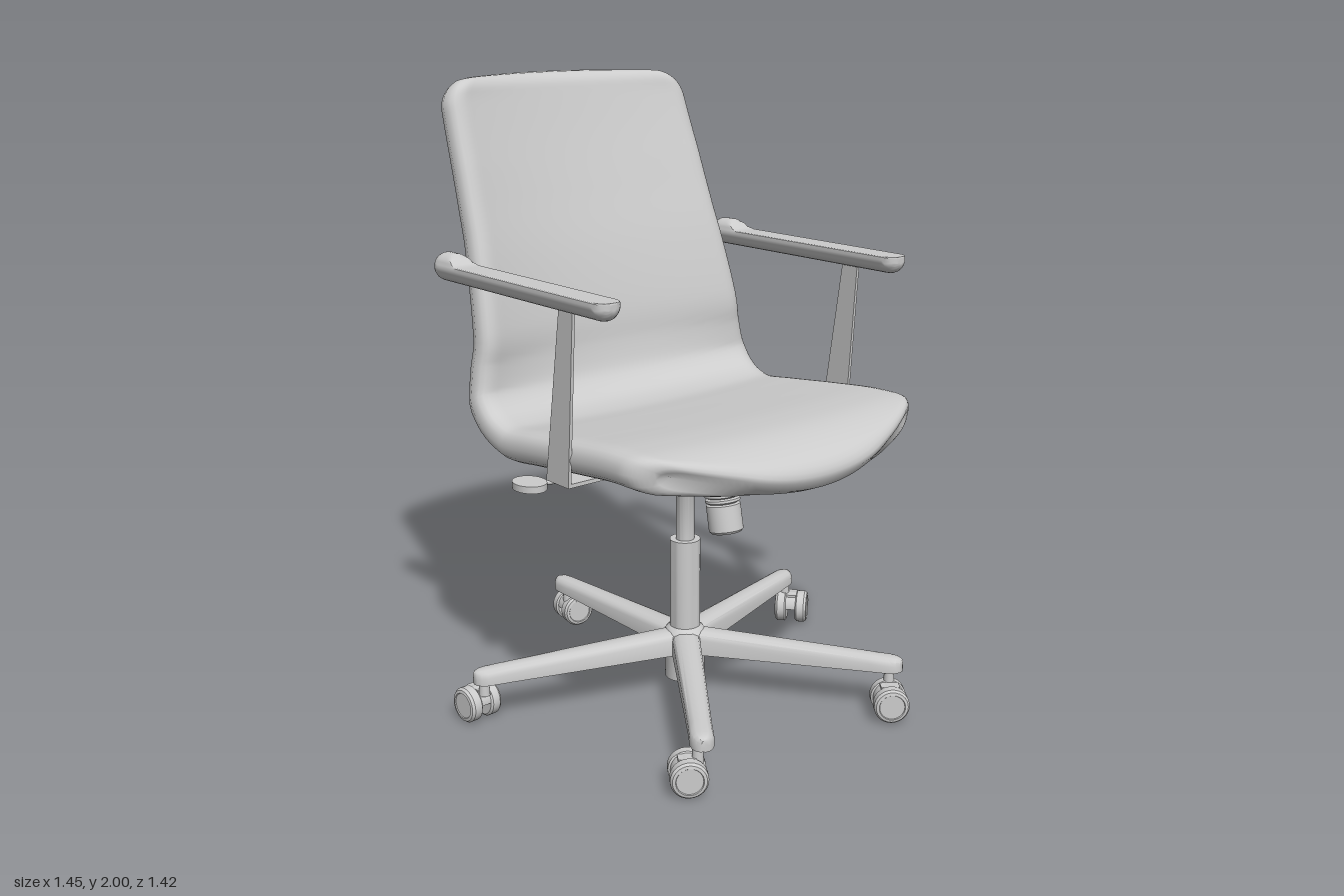
import * as THREE from 'three';
import { mergeVertices, toCreasedNormals } from 'three/addons/utils/BufferGeometryUtils.js';

const grey = new THREE.MeshStandardMaterial({ color: 0xcccccc });
grey.name = 'light grey';
const CX = -0.022, CZ = 0.05; // axis of the column

function add(parent, name, geometry, x = 0, y = 0, z = 0) {
  const mesh = new THREE.Mesh(geometry, grey);
  mesh.name = name;
  mesh.position.set(x, y, z);
  parent.add(mesh);
  return mesh;
}

const lathe = (pts, seg = 32) =>
  toCreasedNormals(new THREE.LatheGeometry(pts.map(p => new THREE.Vector2(...p)), seg), 0.6);

function build(positions, index) {
  const g = new THREE.BufferGeometry();
  g.setAttribute('position', new THREE.Float32BufferAttribute(positions, 3));
  g.setIndex(index);
  return g;
}

// Skins closed counter-clockwise rings [[x, y], ...] placed at rising z
function loft(rings, crease = 0.7) {
  const pos = [], idx = [], n = rings[0].pts.length;
  rings.forEach(r => r.pts.forEach(p => pos.push(p[0], p[1], r.z)));
  for (let i = 0; i < rings.length - 1; i++)
    for (let j = 0; j < n; j++) {
      const a = i * n + j, b = i * n + (j + 1) % n;
      idx.push(a, b, b + n, a, b + n, a + n);
    }
  [0, rings.length - 1].forEach(i => {
    const c = pos.length / 3, pts = rings[i].pts;
    pos.push(0, pts.reduce((s, p) => s + p[1], 0) / n, rings[i].z);
    for (let j = 0; j < n; j++) {
      const a = i * n + j, b = i * n + (j + 1) % n;
      idx.push(c, ...(i ? [a, b] : [b, a]));
    }
  });
  return toCreasedNormals(build(pos, idx), crease);
}

// Piecewise linear lookup in [[key, value], ...]
function lookup(table, t) {
  for (let i = 1; i < table.length; i++) {
    const [a, va] = table[i - 1], [b, vb] = table[i];
    if (t <= b) return va + (vb - va) * (t - a) / (b - a);
  }
  return table[table.length - 1][1];
}

// Padded one-piece seat and back, swept along a side profile
function shellGeometry() {
  const profile = [[0.67, 0.865], [0.625, 0.91], [0.53, 0.947], [0.4, 0.952], [0.2, 0.932], [0, 0.907],
    [-0.15, 0.892], [-0.27, 0.918], [-0.355, 0.99], [-0.392, 1.1], [-0.405, 1.2], [-0.455, 1.4],
    [-0.52, 1.6], [-0.585, 1.8], [-0.643, 1.995]];
  const path = new THREE.CatmullRomCurve3(profile.map(([z, y]) => new THREE.Vector3(0, y, z)));
  path.arcLengthDivisions = 600;
  const L = path.getLength(), NU = 44, NV = 100, H = 0.054, corner = 0.11;
  const widths = [[0, 0.575], [0.5, 0.575], [0.6, 0.54], [0.75, 0.507], [1, 0.478]];
  const bows = [[0, 0.0], [0.1, 0.012], [0.4, 0.018], [0.48, 0.045], [0.6, 0.085], [0.85, 0.075], [1, 0.06]];
  const round = (d, r) => Math.sqrt(1 - (1 - Math.min(d / r, 1)) ** 2);
  const ease = k => 0.45 * k + 0.55 * (1 - Math.cos(Math.PI * k)) / 2;
  const pos = [], idx = [], count = (NU + 1) * (NV + 1);
  for (const side of [1, -1])
    for (let i = 0; i <= NV; i++)
      for (let j = 0; j <= NU; j++) {
        const v = ease(i / NV), u = 2 * ease(j / NU) - 1;
        const s = THREE.MathUtils.lerp(0.16 * u * u, L - 0.025 * u * u, v) / L;
        const end = Math.min(v, 1 - v) * L;
        const w = lookup(widths, s) - corner * (1 - round(end, corner));
        const h = H * round(end, 0.06) * round((1 - Math.abs(u)) * w, 0.07);
        const p = path.getPointAt(s), t = path.getTangentAt(s);
        const off = side * h + lookup(bows, s) * u * u;
        pos.push(u * w, p.y - t.z * off, p.z + t.y * off);
        if (i < NV && j < NU) {
          const a = (side > 0 ? 0 : count) + i * (NU + 1) + j, b = a + 1, d = a + NU + 1, c = d + 1;
          idx.push(...(side > 0 ? [a, b, c, a, c, d] : [a, c, b, a, d, c]));
        }
      }
  const g = mergeVertices(build(pos, idx), 1e-4);
  g.computeVertexNormals();
  return g;
}

// Armrest: round bar with a flattened top and a full round back end
function armrestGeometry() {
  const rings = [], z0 = -0.452, z1 = 0.43, R = 0.045, N = 48;
  for (let i = 0; i <= N; i++) {
    const z = (z0 + z1) / 2 - (z1 - z0) / 2 * Math.cos(Math.PI * i / N);
    const d = Math.min(z - z0, z1 - z, R);
    const r = Math.max(Math.sqrt(R * R - (R - d) ** 2), 0.001);
    const top = 0.012 + 0.035 * (1 - THREE.MathUtils.smoothstep(z, -0.37, -0.31));
    rings.push({ z, pts: Array.from({ length: 28 }, (_, k) => {
      const a = k / 28 * Math.PI * 2;
      return [r * Math.cos(a), Math.min(r * Math.sin(a), top)];
    }) });
  }
  return loft(rings, 0.6);
}

// Base leg: tapered channel, hollow underneath, with a rounded tip
function legGeometry() {
  const stations = [[0.03, 0.046, 0.22, 0.04], [0.6, 0.036, 0.194, 0.03], [0.62, 0.036, 0.193, 0.002],
    [0.68, 0.036, 0.19, 0.002], [0.7, 0.03, 0.188, 0.002], [0.713, 0.02, 0.184, 0.002], [0.72, 0.006, 0.178, 0.002]];
  return loft(stations.map(([z, w, t, groove]) => {
    const b = 0.142, half = [[w, b], [w, t - 0.024], [w * 0.85, t - 0.01], [w * 0.5, t - 0.002]];
    const left = half.map(([x, y]) => [-x, y]).reverse();
    const g = w * 0.65;
    return { z, pts: [...half, [0, t], ...left, [-g, b], [-g, b + groove], [g, b + groove], [g, b]] };
  }));
}

// Twin-wheel caster, wheel axle along local z
function makeCaster() {
  const caster = new THREE.Group();
  caster.name = 'caster';
  const wheel = lathe([[0, -0.02], [0.05, -0.02], [0.057, -0.014], [0.057, 0.012], [0.051, 0.02],
    [0.042, 0.022], [0.04, 0.019], [0, 0.019]], 28);
  for (const s of [1, -1]) add(caster, 'wheel', wheel, 0, 0.057, s * 0.036).rotation.x = s * Math.PI / 2;
  add(caster, 'casterHood', new THREE.CylinderGeometry(0.05, 0.05, 0.04, 24, 1, false, Math.PI / 2, Math.PI), 0, 0.06, 0)
    .rotation.set(Math.PI / 2, 0, 0);
  add(caster, 'casterBlock', new THREE.BoxGeometry(0.06, 0.05, 0.036), 0, 0.083, 0);
  return caster;
}

export function createModel() {
  const chair = new THREE.Group();
  chair.name = 'officeChair';
  add(chair, 'seatShell', shellGeometry(), CX, 0, 0);

  // Armrests with flat uprights that turn in under the seat
  const arm = armrestGeometry();
  const upright = new THREE.Shape([[0.245, 1.4], [0.18, 1.4], [0.1, 0.865], [0.21, 0.865]]
    .map(([z, y]) => new THREE.Vector2(-z, y)));
  const uprightGeo = new THREE.ExtrudeGeometry(upright, { depth: 0.01, bevelEnabled: false });
  uprightGeo.rotateY(Math.PI / 2).translate(-0.005, 0, 0);
  for (const s of [1, -1]) {
    const x = CX + s * 0.572;
    add(chair, 'armrest', arm, x, 1.43, 0);
    add(chair, 'armUpright', uprightGeo, x, 0, 0);
    add(chair, 'armBracket', new THREE.BoxGeometry(0.29, 0.012, 0.11), x - s * 0.14, 0.868, 0.155);
  }

  // Tilt mechanism under the seat
  const body = new THREE.Shape([[-0.24, 0.835], [-0.2, 0.81], [-0.085, 0.765], [0.02, 0.765], [0.07, 0.79], [0.1, 0.835]]
    .map(p => new THREE.Vector2(...p)));
  const bodyGeo = new THREE.ExtrudeGeometry(body, { depth: 0.16, bevelEnabled: false });
  add(chair, 'mechanismBody', bodyGeo.rotateY(Math.PI / 2), CX - 0.08, 0, 0);
  add(chair, 'mechanismPlate', new THREE.BoxGeometry(0.14, 0.01, 0.42), CX, 0.838, 0.115);
  add(chair, 'mechanismWing', new THREE.BoxGeometry(0.34, 0.012, 0.12), CX, 0.838, 0.02);
  add(chair, 'mechanismCore', new THREE.BoxGeometry(0.2, 0.04, 0.22), CX, 0.856, 0.06);

  // Height lever with a flat paddle
  const rod = new THREE.CatmullRomCurve3([[0.09, 0.785, 0.01], [-0.2, 0.785, 0], [-0.36, 0.785, -0.03], [-0.5, 0.785, -0.08]]
    .map(p => new THREE.Vector3(...p)));
  add(chair, 'leverRod', new THREE.TubeGeometry(rod, 24, 0.007, 8));
  const paddle = add(chair, 'leverPaddle', new THREE.CylinderGeometry(0.05, 0.05, 0.022, 24), -0.53, 0.785, -0.09);
  paddle.scale.z = 1.25;

  // Tension knob with ribbed neck
  const knobProfile = [[0, 0], [0.048, 0], [0.055, 0.008], [0.055, 0.09], [0.046, 0.094]];
  for (let i = 0; i < 5; i++) knobProfile.push([0.056, 0.1 + i * 0.017], [0.056, 0.108 + i * 0.017], [0.046, 0.112 + i * 0.017]);
  knobProfile.push([0.04, 0.19], [0, 0.19]);
  add(chair, 'tensionKnob', lathe(knobProfile), CX, 0.608, 0.252).rotation.x = -0.19;
  add(chair, 'knobStem', new THREE.CylinderGeometry(0.02, 0.02, 0.08, 16), CX, 0.81, 0.21);

  // Gas column and hub
  add(chair, 'column', lathe([[0, 0.05], [0.066, 0.05], [0.066, 0.15], [0.075, 0.2], [0.06, 0.222], [0.05, 0.23],
    [0.05, 0.53], [0.03, 0.53], [0.03, 0.69], [0.036, 0.7], [0.036, 0.735], [0.058, 0.745], [0.058, 0.775], [0, 0.775]]), CX, 0, CZ);

  // Five-leg base; each caster has its own swivel: offset x, z and axle direction x, z
  const leg = legGeometry();
  const swivels = [[0.045, -0.02, 0.17, -0.98], [-0.005, -0.055, -1, 0.06], [-0.035, -0.022, -0.56, 0.83],
    [-0.03, 0.035, -0.61, 0.79], [0.025, 0.03, 0.64, 0.77]];
  swivels.forEach(([ox, oz, nx, nz], i) => {
    const a = Math.PI + i * Math.PI * 2 / 5;
    add(chair, 'baseLeg', leg, CX, 0, CZ).rotation.y = a;
    const x = CX + 0.675 * Math.sin(a), z = CZ + 0.675 * Math.cos(a);
    add(chair, 'casterStem', new THREE.CylinderGeometry(0.015, 0.018, 0.07, 16), x + ox * 0.3, 0.125, z + oz * 0.3);
    const caster = makeCaster();
    caster.position.set(x + ox, 0, z + oz);
    caster.rotation.y = Math.atan2(nx, nz);
    chair.add(caster);
  });
  return chair;
}
